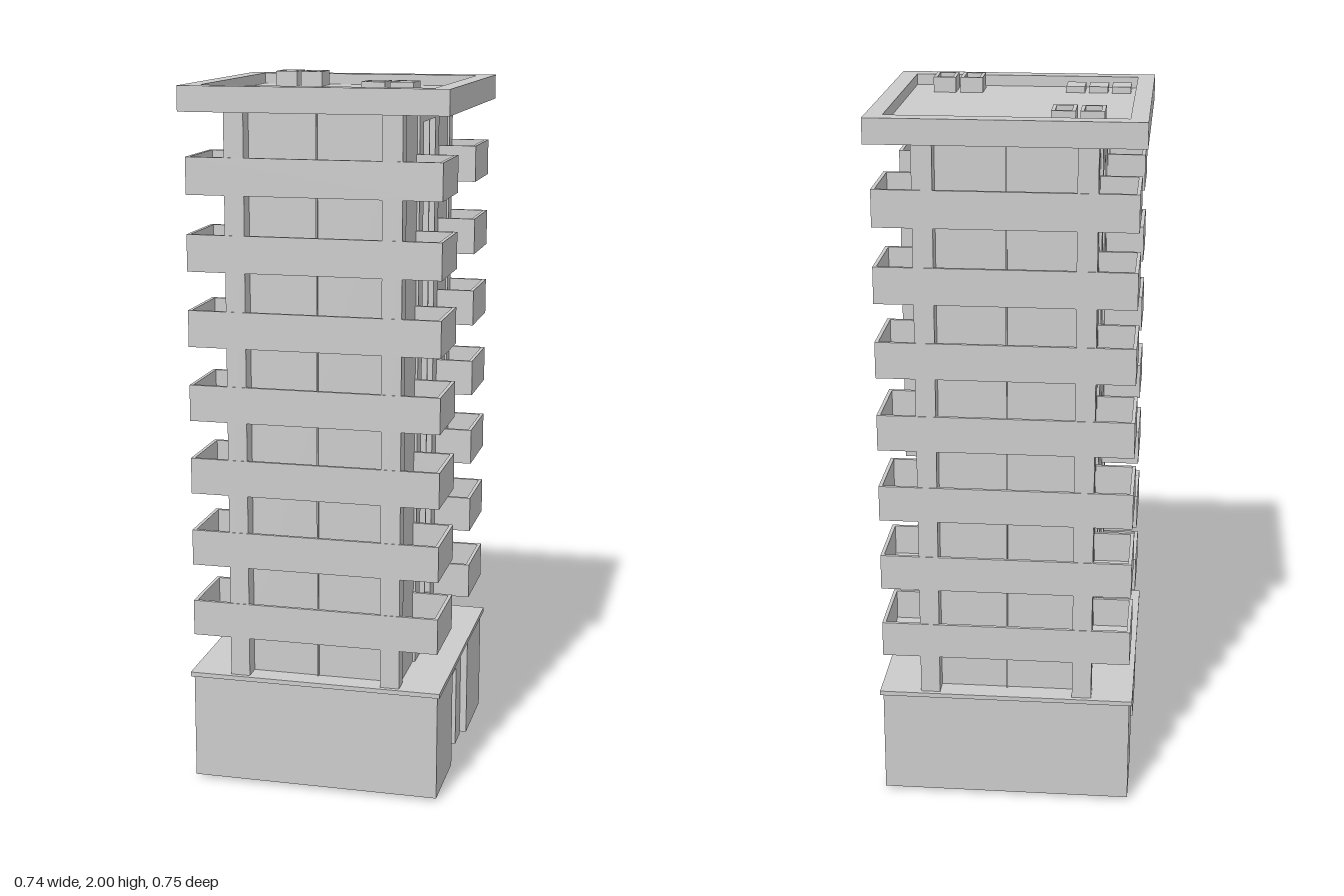
import * as THREE from 'three';

const mat = new THREE.MeshStandardMaterial({ color: 0xcccccc, flatShading: true });

// Box given by its min and max on each axis
function box(parent, name, x0, x1, y0, y1, z0, z1) {
  const m = new THREE.Mesh(new THREE.BoxGeometry(x1 - x0, y1 - y0, z1 - z0), mat);
  m.position.set((x0 + x1) / 2, (y0 + y1) / 2, (z0 + z1) / 2);
  m.name = name;
  parent.add(m);
}

// The same box on the front and on the back
function boxPair(parent, name, x0, x1, y0, y1, z0, z1) {
  box(parent, name, x0, x1, y0, y1, z0, z1);
  box(parent, name, x0, x1, y0, y1, -z1, -z0);
}

function group(parent, name) {
  const g = new THREE.Group();
  g.name = name;
  parent.add(g);
  return g;
}

function rect(Type, x0, x1, y0, y1) {
  return new Type([[x0, y0], [x1, y0], [x1, y1], [x0, y1]].map(p => new THREE.Vector2(...p)));
}

// Plate in the x-y plane with rectangular holes
function plate(outer, holes, depth) {
  const s = rect(THREE.Shape, ...outer);
  s.holes = holes.map(h => rect(THREE.Path, ...h));
  return new THREE.ExtrudeGeometry(s, { depth, bevelEnabled: false });
}

// Flat ring or tray rim lying in the x-z plane
function rim(parent, name, [x0, x1, z0, z1], [a0, a1, b0, b1], y0, y1) {
  const m = new THREE.Mesh(plate([x0, x1, -z1, -z0], [[a0, a1, -b1, -b0]], y1 - y0), mat);
  m.rotation.x = -Math.PI / 2;
  m.position.y = y0;
  m.name = name;
  parent.add(m);
}

const FLOORS = 7, PITCH = 0.2093, Y0 = 0.329, Y1 = 1.919;

function buildBase(root) {
  const g = group(root, 'base');
  const t = 0.012, b = 0.01, top = 0.316, X = 0.355, Z = 0.362, N = 0.125;
  boxPair(g, 'baseWall', -X, X, b, top, Z - t, Z);
  // side walls either side of the entrances
  boxPair(g, 'baseSideWallLeft', X - t, X, b, top, N, Z);
  boxPair(g, 'baseSideWallRight', -X, -X + t, b, top, N, Z);
  // long inner walls that also form the sides of the entrances
  boxPair(g, 'corridorWall', -X + 0.001, X - 0.001, b, top, N, N + t);
  // room partitions
  for (const x of [-0.18, 0, 0.18]) {
    box(g, 'partition', x - t / 2, x + t / 2, b, top, -Z + t, Z - t);
  }
  // entrance surround and the rear porch
  boxPair(g, 'doorPier', 0.23, 0.335, 0, top, 0.05, N);
  box(g, 'doorLintel', 0.23, 0.335, 0.246, top, -0.05, 0.05);
  box(g, 'entranceBackWall', 0.22, 0.232, b, top, -N, N);
  box(g, 'porchBackWall', -0.245, -0.225, b, top, -N, N);
  box(g, 'baseSlab', -0.363, 0.363, top, Y0, -0.373, 0.373);
}

function buildTower(root) {
  const g = group(root, 'tower');
  boxPair(g, 'apartmentCore', -0.239, 0.239, Y0, Y1, 0.13, 0.31);
  box(g, 'stairwellCore', -0.218, 0.218, Y0, Y1, -0.13, 0.13);
  // corner pillars and thin dividers on the front and back
  for (const x of [-0.245, 0.19]) boxPair(g, 'pillar', x, x + 0.055, Y0, Y1, 0.31, 0.36);
  boxPair(g, 'divider', -0.002, 0.002, Y0, Y1, 0.31, 0.318);
  // stairwell face on each side, with a pair of window openings per floor
  const holes = [];
  for (let i = 0; i < FLOORS; i++) {
    const y = 0.467 + i * 0.2115;
    holes.push([-0.083, -0.004, y, y + 0.146], [0.004, 0.083, y, y + 0.146]);
  }
  const geo = plate([-0.14, 0.14, Y0, Y1], holes, 0.028);
  for (const s of [-1, 1]) {
    const m = new THREE.Mesh(geo, mat);
    m.name = 'stairwellWall';
    m.rotation.y = s * Math.PI / 2;
    m.position.x = s * 0.218;
    g.add(m);
  }
}

// Extruded upwards from an outline of x, z points
function upright(points, height) {
  const shape = new THREE.Shape(points.map(p => new THREE.Vector2(p[0], -p[1])));
  return new THREE.ExtrudeGeometry(shape, { depth: height, bevelEnabled: false }).rotateX(-Math.PI / 2);
}

// Each balcony wraps one face and both its corners: a floor with an upright parapet
function buildBalconies(root) {
  const X = 0.353, Z = 0.362, e = 0.14, w = 0.235, i = 0.01;
  const floor = upright([[-X, e], [-w, e], [-w, 0.305], [w, 0.305], [w, e], [X, e], [X, Z], [-X, Z]], 0.016);
  const parapet = upright([[-X, e], [-w, e], [-w, e + i], [-X + i, e + i], [-X + i, Z - i], [X - i, Z - i],
    [X - i, e + i], [w, e + i], [w, e], [X, e], [X, Z], [-X, Z]], 0.102);
  for (let k = 0; k < FLOORS; k++) {
    for (const turn of [0, Math.PI]) {
      const g = group(root, 'balcony');
      const f = new THREE.Mesh(floor, mat), p = new THREE.Mesh(parapet, mat);
      f.name = 'balconyFloor';
      p.name = 'balconyParapet';
      f.position.y = 0.0005;
      g.add(f, p);
      g.position.y = 0.441 + k * PITCH;
      g.rotation.y = turn;
    }
  }
}

function buildRoof(root) {
  const g = group(root, 'roof');
  const R = 0.37, Z = 0.371, I = 0.322, deck = 1.957;
  box(g, 'roofDeck', -R, R, Y1, deck, -Z, Z);
  rim(g, 'roofParapet', [-R, R, -Z, Z], [-I, I, -I, I], deck, 1.988);
  // open-topped ventilation units
  for (const [x, z] of [[-0.255, -0.292], [-0.179, -0.291], [0.117, 0.201], [0.194, 0.2]]) {
    rim(g, 'ventUnit', [x, x + 0.064, z, z + 0.091],
      [x + 0.01, x + 0.054, z + 0.011, z + 0.081], deck, 2);
    box(g, 'ventUnitBase', x + 0.008, x + 0.056, deck, 1.98, z + 0.009, z + 0.083);
  }
  // low roof hatches
  for (let i = 0; i < 3; i++) {
    const x = -0.305 + i * 0.0655;
    box(g, 'roofHatch', x, x + 0.054, deck, 1.975, 0.226, 0.304);
  }
}

export function createModel() {
  const root = new THREE.Group();
  root.name = 'apartmentTower';
  buildBase(root);
  buildTower(root);
  buildBalconies(root);
  buildRoof(root);
  return root;
}
